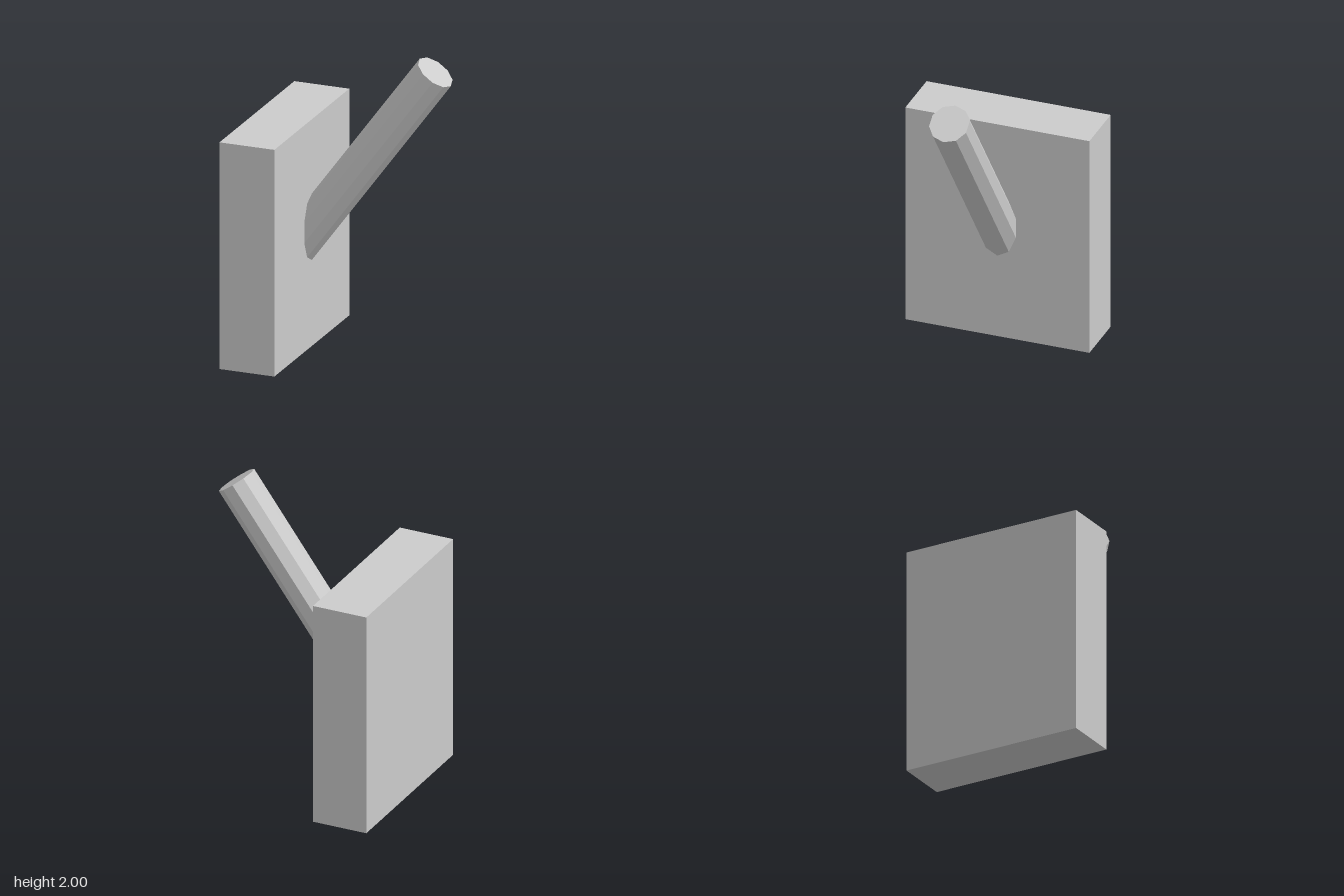
import * as THREE from 'three';

export function createModel() {
  const model = new THREE.Group();
  const material = new THREE.MeshStandardMaterial({ color: 0xcccccc, flatShading: true });

  // Upright mounting block
  const block = new THREE.Mesh(new THREE.BoxGeometry(0.37, 1.5, 1.23), material);
  block.name = 'mountingBlock';
  block.position.set(-0.47, 0.75, 0);
  model.add(block);

  // Ten-sided slanted peg, its lower end sunk into the block
  const length = 1.71;
  const tilt = 0.633;
  const geometry = new THREE.CylinderGeometry(0.13, 0.13, length, 10, 1, false, Math.PI / 2);
  geometry.translate(0, -length / 2, 0); // origin at the tip
  const peg = new THREE.Mesh(geometry, material);
  peg.name = 'slantedPeg';
  peg.position.set(0.547, 1.923, 0);
  peg.rotation.z = -tilt;
  model.add(peg);

  return model;
}
